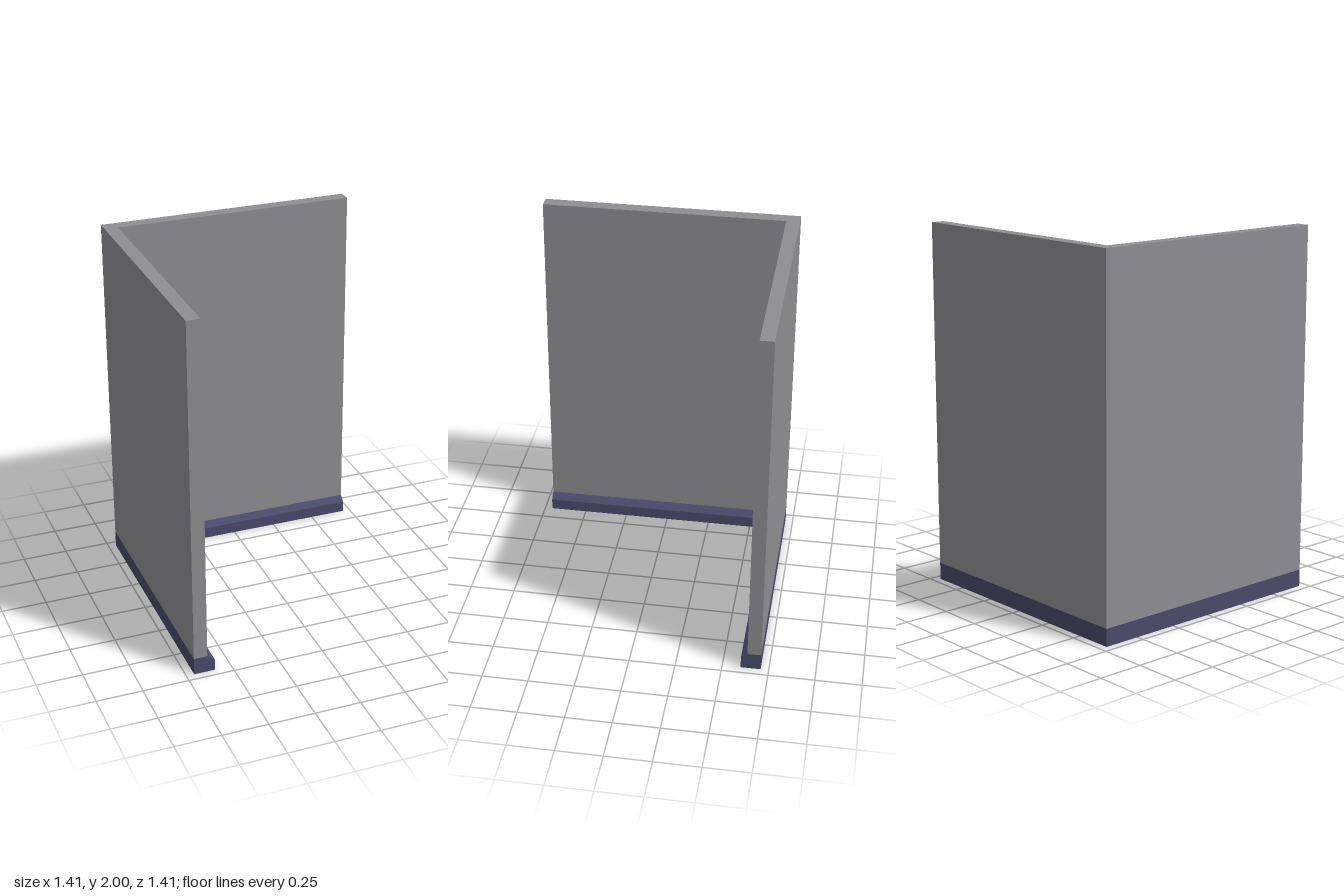
import * as THREE from 'three';

const HALF = 0.707;      // half the footprint
const TOP = 2;           // wall height
const SKIRT = 0.095;     // skirting height
const WALL = 0.074;      // wall thickness

const wallGrey = new THREE.MeshStandardMaterial({ color: 0x8e8e92, side: THREE.DoubleSide });
const skirtingBlue = new THREE.MeshStandardMaterial({ color: 0x4a4a6a, side: THREE.DoubleSide });

// Profile points are [depth in side wall, depth in back wall, height].
// Stations: front end of the side wall, mitred corner, far end of the back wall.
const stations = [
  ([a, , y]) => [-HALF + a, y, HALF],
  ([a, b, y]) => [-HALF + a, y, -HALF + b],
  ([, b, y]) => [HALF, y, -HALF + b],
];

// Sweeps open profile strips round the corner and closes both ends with a cap.
function sweep(name, strips, cap, material) {
  const positions = [];
  const tri = (...points) => points.forEach((p) => positions.push(...p));
  for (const strip of strips) {
    for (let s = 0; s < 2; s++) {
      for (let i = 0; i < strip.length - 1; i++) {
        const a0 = stations[s](strip[i]), a1 = stations[s](strip[i + 1]);
        const b0 = stations[s + 1](strip[i]), b1 = stations[s + 1](strip[i + 1]);
        tri(a0, a1, b1);
        tri(a0, b1, b0);
      }
    }
  }
  const front = cap.map(stations[0]);
  const far = cap.map(stations[2]);
  for (let i = 1; i < cap.length - 1; i++) {
    tri(front[0], front[i + 1], front[i]);
    tri(far[0], far[i], far[i + 1]);
  }
  const geometry = new THREE.BufferGeometry();
  geometry.setAttribute('position', new THREE.Float32BufferAttribute(positions, 3));
  geometry.computeVertexNormals();
  const mesh = new THREE.Mesh(geometry, material);
  mesh.name = name;
  return mesh;
}

export function createModel() {
  const group = new THREE.Group();
  group.name = 'wallCorner';

  // Hollow L-shaped wall, open underneath
  const wall = [[0, 0, SKIRT], [0, 0, TOP], [WALL, WALL, TOP], [WALL, WALL, SKIRT]];
  group.add(sweep('walls', [wall], wall, wallGrey));

  // Skirting: plain band outside, bevelled moulding inside, open underneath
  const outer = [[0, 0, 0], [0, 0, SKIRT]];
  const inner = [[WALL, WALL, SKIRT], [0.115, 0.108, 0.064], [0.115, 0.108, 0]];
  group.add(sweep('skirting', [outer, inner], [...outer, ...inner], skirtingBlue));

  return group;
}
